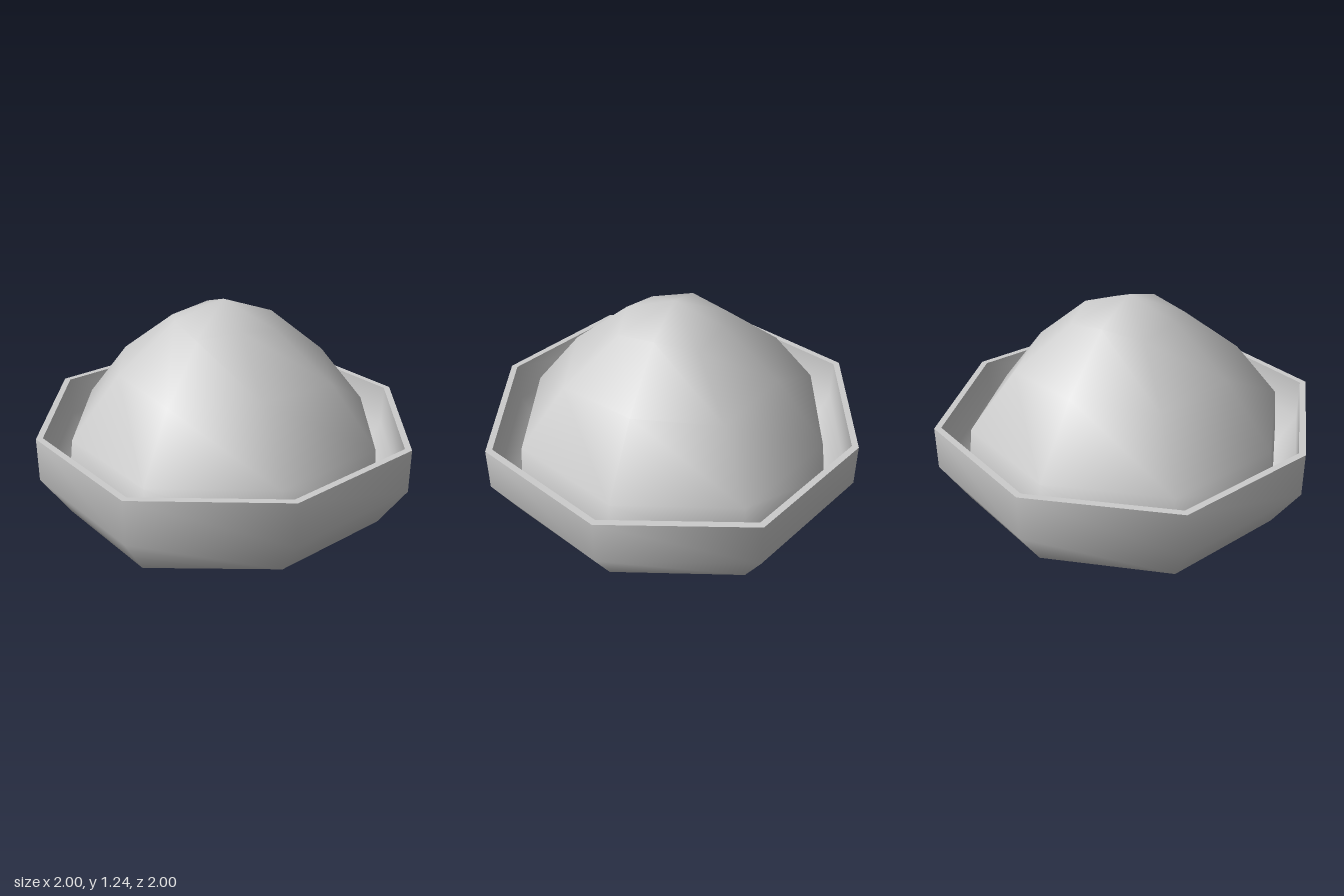
import * as THREE from 'three';
import { mergeVertices } from 'three/addons/utils/BufferGeometryUtils.js';

// Eight-sided smooth shell. Each ring: [radius on axis, y, radius on diagonal, y on diagonal]
function octagonShell(rings) {
  const geo = new THREE.LatheGeometry(rings.map(([r, y]) => new THREE.Vector2(r, y)), 8);
  const pos = geo.attributes.position;
  for (let i = 0; i <= 8; i++) {
    const a = (i * Math.PI) / 4;
    rings.forEach(([r, y, rd = r * 1.028, yd = y], j) => {
      const radius = i % 2 ? rd : r;
      pos.setXYZ(i * rings.length + j, radius * Math.sin(a), i % 2 ? yd : y, radius * Math.cos(a));
    });
  }
  // Weld the seam and poles so shading stays smooth
  geo.deleteAttribute('uv');
  geo.deleteAttribute('normal');
  const welded = mergeVertices(geo, 1e-4);
  welded.computeVertexNormals();
  return welded;
}

export function createModel() {
  const group = new THREE.Group();
  const grey = new THREE.MeshStandardMaterial({ color: 0xcccccc });
  grey.name = 'light grey';

  const add = (name, rings) => {
    const mesh = new THREE.Mesh(octagonShell(rings), grey);
    mesh.name = name;
    group.add(mesh);
  };

  // Outside of the bowl, bottom to top
  add('bowlOutside', [
    [0, 0, 0], [0.5, 0.04, 0.6, 0.063], [0.855, 0.16, 0.885, 0.16], [1, 0.375], [1, 0.608],
  ]);
  // Flat lip
  add('bowlRim', [[1, 0.608], [0.965, 0.608]]);
  // Inside of the bowl, top to bottom
  add('bowlInside', [
    [0.965, 0.608], [0.965, 0.39], [0.825, 0.19], [0.48, 0.075, 0.58, 0.097], [0, 0.04, 0],
  ]);
  // Dome resting in the bowl
  add('dome', [
    [0.825, 0.19, 0.85], [0.845, 0.36, 0.865], [0.82, 0.57, 0.845],
    [0.56, 0.9, 0.6, 0.88], [0.262, 1.15, 0.3, 1.112], [0, 1.24, 0],
  ]);

  return group;
}
